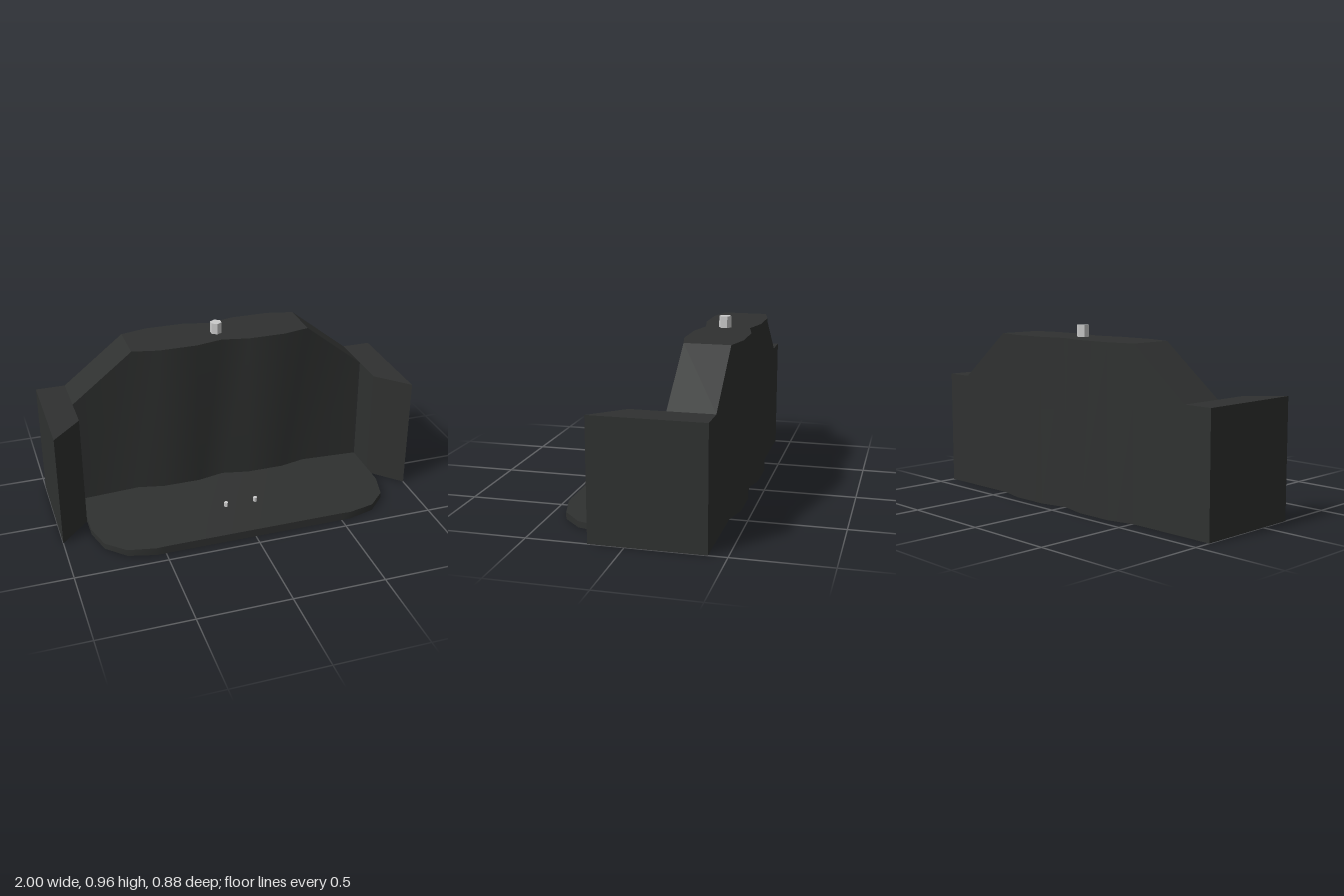
import * as THREE from 'three';
import { toCreasedNormals } from 'three/addons/utils/BufferGeometryUtils.js';

const dark = new THREE.MeshStandardMaterial({ color: 0x2f3130 });
const grey = new THREE.MeshStandardMaterial({ color: 0xcccccc, flatShading: true });

// Solid through rectangular sections [x, front z, back z, top y] standing on y = 0, in rising x
function loft(name, sections) {
  const positions = [];
  const quad = (a, b, c, d) => positions.push(...a, ...b, ...c, ...a, ...c, ...d);
  const rings = sections.map(([x, front, back, top]) => [
    [x, 0, front], [x, top, front], [x, top, back], [x, 0, back],
  ]);
  for (let i = 0; i < rings.length - 1; i++) {
    const p = rings[i], q = rings[i + 1];
    for (let k = 0; k < 4; k++) {
      const n = (k + 1) % 4;
      quad(p[k], q[k], q[n], p[n]);
    }
  }
  const [a, b, c, d] = rings[0];
  quad(a, b, c, d);
  const [e, f, g, h] = rings[rings.length - 1];
  quad(e, h, g, f);
  const geometry = new THREE.BufferGeometry();
  geometry.setAttribute('position', new THREE.Float32BufferAttribute(positions, 3));
  const mesh = new THREE.Mesh(toCreasedNormals(geometry, 0.6), dark);
  mesh.name = name;
  return mesh;
}

// Mirror sections to -x, keeping rising x order
const flip = (sections) => sections.map(([x, ...rest]) => [-x, ...rest]).reverse();
const mirrored = (half) => [...flip(half.filter((s) => s[0] > 0)), ...half];

function post(name, radius, bottom, top, x, z) {
  const mesh = new THREE.Mesh(new THREE.CylinderGeometry(radius, radius, top - bottom, 6), grey);
  mesh.position.set(x, (top + bottom) / 2, z);
  mesh.name = name;
  return mesh;
}

export function createModel() {
  const model = new THREE.Group();
  model.name = 'wingedBackrestUnit';

  // Wavy back wall with sloping shoulders
  model.add(loft('backWall', mirrored([
    [0, -0.165, -0.405, 0.9],
    [0.15, -0.133, -0.44, 0.9],
    [0.36, -0.133, -0.44, 0.9],
    [0.505, -0.165, -0.405, 0.9],
    [0.84, -0.165, -0.405, 0.635],
  ])));

  // Thin base plate with rounded front corners, dipping slightly at the sides
  model.add(loft('basePlate', mirrored([
    [0.5, 0.44, -0.3, 0.045],
    [0.55, 0.44, -0.3, 0.043],
    [0.7, 0.4, -0.3, 0.037],
    [0.8, 0.3, -0.3, 0.033],
    [0.84, 0.15, -0.3, 0.031],
  ])));

  // Side wings with slanted front faces
  const wing = [[0.84, 0.02, -0.405, 0.635], [1, 0.185, -0.405, 0.635]];
  model.add(loft('leftWing', wing), loft('rightWing', flip(wing)));

  // Hexagonal knob on top and two small pins on the plate
  model.add(post('topKnob', 0.033, 0.89, 0.962, 0, -0.27));
  model.add(post('leftPin', 0.012, 0.03, 0.07, 0.085, 0.175));
  model.add(post('rightPin', 0.012, 0.03, 0.07, -0.085, 0.175));
  return model;
}
